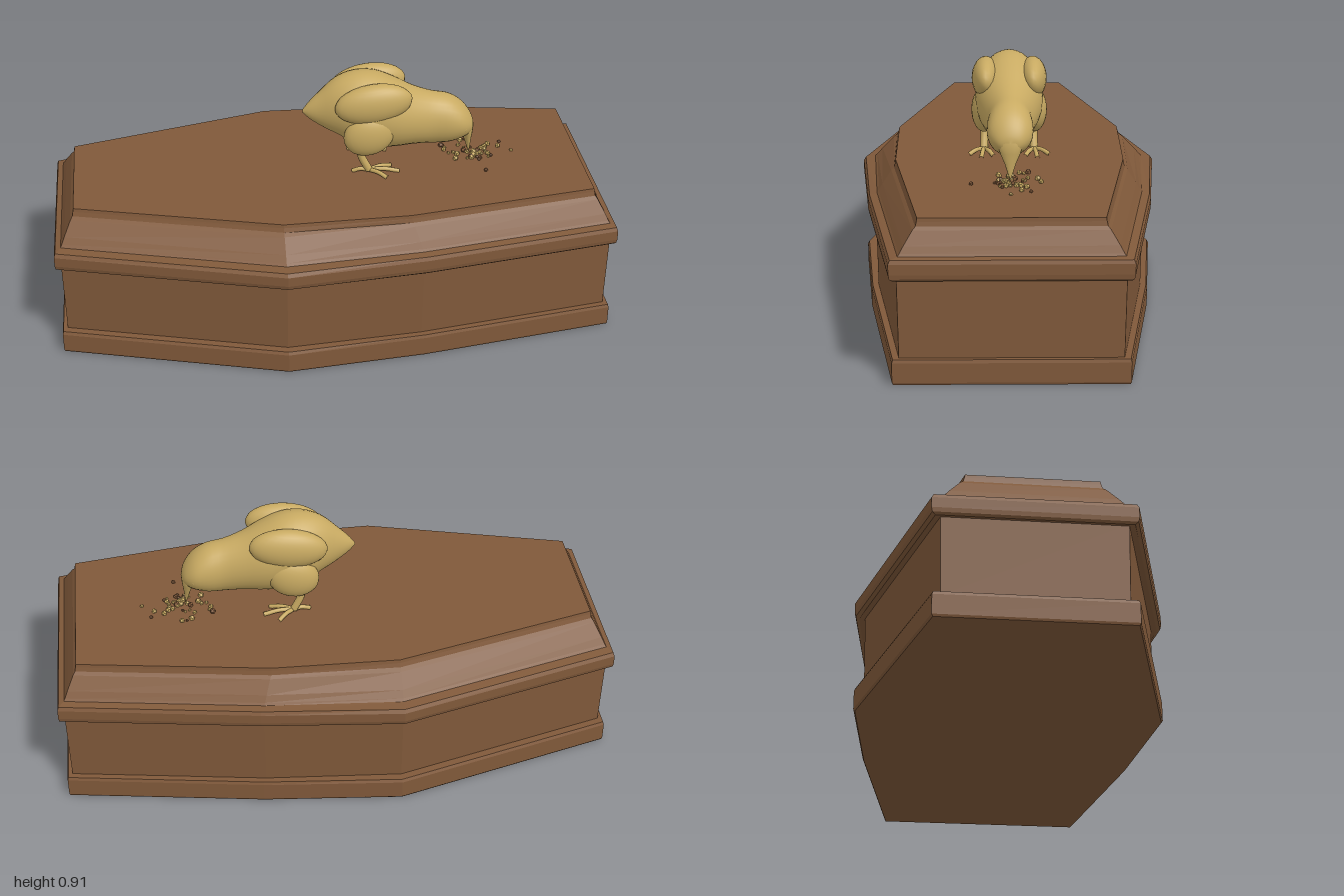
import * as THREE from 'three';
import { mergeGeometries } from 'three/addons/utils/BufferGeometryUtils.js';

const wood = new THREE.MeshStandardMaterial({ color: 0x80593a });
wood.name = 'brown wood';
const down = new THREE.MeshStandardMaterial({ color: 0xc8aa62 });
down.name = 'pale yellow down';

// Half outlines [x, z] of the widest rim and of the lid's flat top
const RIM = [[-1, 0.33], [-0.2, 0.55], [0.3, 0.5], [1, 0.39]];
const TOP = [[-0.925, 0.22], [-0.2, 0.412], [0.25, 0.403], [0.925, 0.3]];

// Full outline, blended from rim (t = 0) to top (t = 1)
function outline(t, y) {
  const half = RIM.map(([x, z], i) => [x + (TOP[i][0] - x) * t, z + (TOP[i][1] - z) * t]);
  return [
    ...half.map(([x, z]) => new THREE.Vector3(x, y, z)),
    ...half.reverse().map(([x, z]) => new THREE.Vector3(x, y, -z)),
  ];
}

// Closed, flat-faced solid following a [t, y] profile from bottom to top
function coffinPart(name, profile) {
  const rings = profile.map(([t, y]) => outline(t, y));
  const n = rings[0].length;
  const pts = [];
  for (let i = 0; i < rings.length - 1; i++) {
    for (let j = 0; j < n; j++) {
      const k = (j + 1) % n;
      const [a, b, c, d] = [rings[i][j], rings[i][k], rings[i + 1][k], rings[i + 1][j]];
      pts.push(a, b, c, a, c, d);
    }
  }
  const last = rings[rings.length - 1];
  const lowC = new THREE.Vector3(0, rings[0][0].y, 0);
  const topC = new THREE.Vector3(0, last[0].y, 0);
  for (let j = 0; j < n; j++) {
    const k = (j + 1) % n;
    pts.push(lowC, rings[0][k], rings[0][j], topC, last[j], last[k]);
  }
  const geo = new THREE.BufferGeometry().setFromPoints(pts);
  geo.computeVertexNormals();
  const mesh = new THREE.Mesh(geo, wood);
  mesh.name = name;
  return mesh;
}

// Smooth body from upright elliptical sections [x, top, bottom, half width]
function bodyGeometry(rows, sides = 28) {
  const upper = new THREE.CatmullRomCurve3(rows.map(r => new THREE.Vector3(r[0], r[1], r[3])));
  const lower = new THREE.CatmullRomCurve3(rows.map(r => new THREE.Vector3(r[0], r[2], r[3])));
  const steps = (rows.length - 1) * 3;
  const pos = [], index = [];
  for (let i = 0; i <= steps; i++) {
    const u = upper.getPoint(i / steps), l = lower.getPoint(i / steps);
    for (let j = 0; j < sides; j++) {
      const a = (j / sides) * Math.PI * 2;
      pos.push(u.x, (u.y + l.y) / 2 + Math.cos(a) * (u.y - l.y) / 2, Math.sin(a) * u.z);
      if (i < steps) {
        const k = (j + 1) % sides;
        const p = i * sides + j, q = i * sides + k;
        index.push(p, q, p + sides, q, q + sides, p + sides);
      }
    }
  }
  const geo = new THREE.BufferGeometry();
  geo.setAttribute('position', new THREE.Float32BufferAttribute(pos, 3));
  geo.setIndex(index);
  geo.computeVertexNormals();
  return geo;
}

function ellipsoid(name, center, radii, tilt = 0) {
  const mesh = new THREE.Mesh(new THREE.SphereGeometry(1, 24, 16), down);
  mesh.name = name;
  mesh.position.set(...center);
  mesh.scale.set(...radii);
  mesh.rotation.z = tilt;
  return mesh;
}

function limb(name, points, radius) {
  const curve = new THREE.CatmullRomCurve3(points.map(p => new THREE.Vector3(...p)));
  const mesh = new THREE.Mesh(new THREE.TubeGeometry(curve, 10, radius, 8), down);
  mesh.name = name;
  return mesh;
}

function createChick() {
  const chick = new THREE.Group();
  chick.name = 'chick';
  const body = new THREE.Mesh(bodyGeometry([
    [-0.092, 0.762, 0.752, 0.004], [-0.07, 0.79, 0.73, 0.022], [-0.03, 0.83, 0.7, 0.045],
    [0.03, 0.882, 0.665, 0.08], [0.1, 0.905, 0.625, 0.11], [0.17, 0.9, 0.607, 0.12],
    [0.24, 0.87, 0.605, 0.115], [0.31, 0.832, 0.608, 0.095], [0.38, 0.807, 0.605, 0.078],
    [0.44, 0.793, 0.606, 0.08], [0.485, 0.765, 0.62, 0.075], [0.515, 0.73, 0.635, 0.055],
    [0.53, 0.7, 0.65, 0.032], [0.535, 0.678, 0.672, 0.003],
  ]), down);
  body.name = 'body and head';
  chick.add(body);

  // Beak pointing straight down
  const profile = [[0, 0], [0.008, 0.02], [0.019, 0.055], [0.034, 0.09], [0.045, 0.125], [0.03, 0.15]];
  const beak = new THREE.Mesh(new THREE.LatheGeometry(profile.map(p => new THREE.Vector2(...p)), 16), down);
  beak.name = 'beak';
  beak.position.set(0.525, 0.545, 0);
  beak.scale.x = 0.6;
  beak.rotation.z = 0.12;
  chick.add(beak);

  for (const s of [1, -1]) {
    const side = s > 0 ? 'right' : 'left';
    const label = part => `${side} ${part}`;
    chick.add(ellipsoid(label('wing'), [0.155, 0.815, s * 0.083], [0.14, 0.075, 0.05], 0.12));
    chick.add(ellipsoid(label('thigh'), [0.14, 0.695, s * 0.09], [0.095, 0.08, 0.045], 0.4));
    chick.add(ellipsoid(label('eye'), [0.49, 0.678, s * 0.062], [0.012, 0.01, 0.008]));
    chick.add(limb(label('leg'), [[0.11, 0.66, s * 0.088], [0.112, 0.61, s * 0.088], [0.14, 0.55, s * 0.09]], 0.014));
    // Three front toes and one behind
    for (const [dx, dz] of [[0.085, -0.035], [0.11, 0.01], [0.06, 0.055], [-0.06, -0.01]]) {
      chick.add(limb(label('toe'), [
        [0.14, 0.55, s * 0.09],
        [0.14 + dx * 0.5, 0.553, s * (0.09 + dz * 0.5)],
        [0.14 + dx, 0.543, s * (0.09 + dz)],
      ], 0.008));
    }
  }
  return chick;
}

// Seeded crumbs: a loose pile under the beak and a few strays
function createCrumbs() {
  let seed = 7;
  const rand = () => (seed = (seed * 16807) % 2147483647) / 2147483647;
  const sets = [[], []];
  for (let i = 0; i < 48; i++) {
    const stray = i % 3 === 0;
    const a = rand() * Math.PI * 2;
    const r = stray ? 0.07 + rand() * 0.07 : rand() * 0.06;
    const size = 0.005 + rand() * 0.006;
    const geo = new THREE.DodecahedronGeometry(size);
    geo.rotateY(a * 3);
    geo.translate(0.55 + Math.cos(a) * r, 0.54 + size * 0.6, Math.sin(a) * r);
    sets[i % 4 === 1 ? 1 : 0].push(geo);
  }
  const group = new THREE.Group();
  group.name = 'crumbs';
  sets.forEach((geos, i) => {
    const mesh = new THREE.Mesh(mergeGeometries(geos), i ? wood : down);
    mesh.name = i ? 'dark crumbs' : 'light crumbs';
    group.add(mesh);
  });
  return group;
}

export function createModel() {
  const model = new THREE.Group();
  model.name = 'chick on a coffin';
  model.add(
    coffinPart('base plinth', [[0.1, 0], [0.06, 0.008], [0.06, 0.075], [0.1, 0.086]]),
    coffinPart('coffin box', [[0.31, 0.08], [0.27, 0.36]]),
    coffinPart('lid', [
      [0.12, 0.352], [0.03, 0.36], [0, 0.375], [0, 0.41], [0.06, 0.423], [0.32, 0.428],
      [0.38, 0.436], [0.52, 0.458], [0.84, 0.503], [0.94, 0.513], [0.98, 0.528], [1, 0.54],
    ]),
    createChick(),
    createCrumbs(),
  );
  return model;
}
